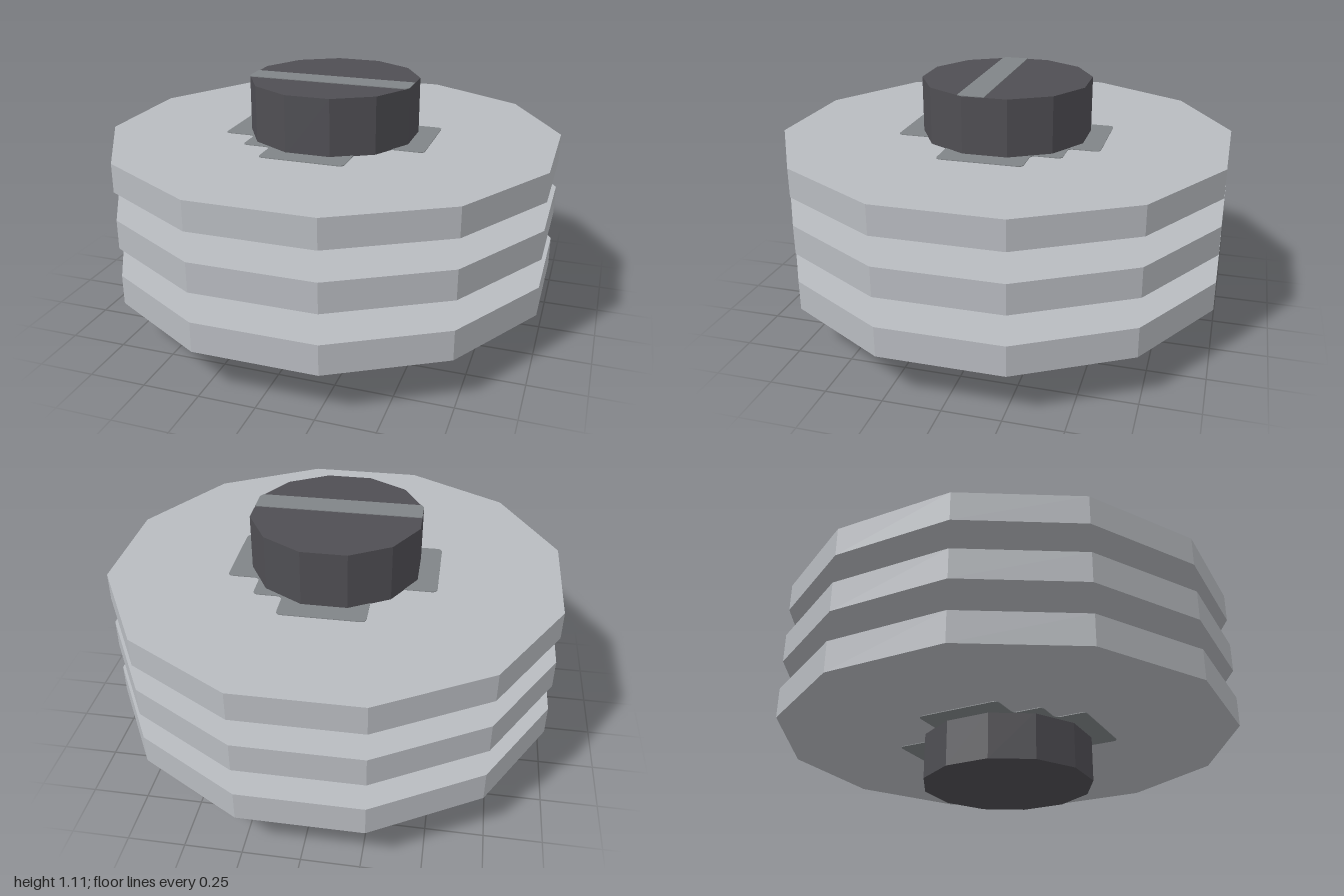
import * as THREE from 'three';

const STEP = Math.PI / 6;

// Twelve-sided prism; apothem is the distance from the axis to a flat side
function prism(name, apothem, y0, y1, material) {
  const r = apothem / Math.cos(STEP / 2);
  const geo = new THREE.CylinderGeometry(r, r, y1 - y0, 12, 1, false, STEP / 2);
  const mesh = new THREE.Mesh(geo, material);
  mesh.name = name;
  mesh.position.y = (y0 + y1) / 2;
  return mesh;
}

// Thin horizontal plate from an outline of [x, -z] points, corners rounded by r
function plate(name, points, r, y, thickness, material) {
  const pts = points.map(([x, v]) => new THREE.Vector2(x, v));
  const shape = new THREE.Shape();
  pts.forEach((p, i) => {
    const prev = pts[(i + pts.length - 1) % pts.length];
    const next = pts[(i + 1) % pts.length];
    const a = p.clone().add(prev.clone().sub(p).setLength(r));
    const b = p.clone().add(next.clone().sub(p).setLength(r));
    if (i === 0) shape.moveTo(a.x, a.y);
    else shape.lineTo(a.x, a.y);
    if (r > 0) shape.quadraticCurveTo(p.x, p.y, b.x, b.y);
  });
  shape.closePath();
  const geo = new THREE.ExtrudeGeometry(shape, { depth: thickness, bevelEnabled: false, curveSegments: 4 });
  geo.rotateX(-Math.PI / 2);
  const mesh = new THREE.Mesh(geo, material);
  mesh.name = name;
  mesh.position.y = y;
  return mesh;
}

export function createModel() {
  const make = (name, color) => {
    const m = new THREE.MeshStandardMaterial({ color, flatShading: true });
    m.name = name;
    return m;
  };
  const lightMetal = make('light metal', 0xb8bbc0);
  const darkMetal = make('dark metal', 0x4f4e53);
  const greyMark = make('grey mark', 0x808487);

  const group = new THREE.Group();
  group.name = 'finnedSpool';

  // Axle ends
  group.add(prism('lowerHub', 0.373, 0, 0.21, darkMetal));
  group.add(prism('upperHub', 0.373, 0.85, 1.11, darkMetal));

  // Three wide discs
  const discs = [[0.205, 0.338], [0.47, 0.6], [0.728, 0.855]];
  discs.forEach(([y0, y1], i) => group.add(prism('disc' + (i + 1), 1, y0, y1, lightMetal)));

  // Thicker cores between the discs
  for (let i = 0; i < 2; i++) {
    group.add(prism('core' + (i + 1), 0.56, discs[i][1], discs[i + 1][0], darkMetal));
  }

  // Stepped cross marks around the axle; half the outline, turned for the other half
  const half = [
    [0.465, -0.19], [0.465, 0.19], [0.32, 0.19], [0.32, 0.325],
    [0.19, 0.325], [0.19, 0.465], [-0.19, 0.465], [-0.19, 0.19],
  ];
  const cross = [...half, ...half.map(([x, v]) => [-x, -v])];
  group.add(plate('upperCrossMark', cross, 0.025, 0.855, 0.003, greyMark));
  group.add(plate('lowerCrossMark', cross, 0.025, 0.202, 0.003, greyMark));

  // Slot stripe across the top of the axle
  const stripe = [[-0.362, -0.12], [0.362, -0.12], [0.373, -0.1], [0.373, 0], [-0.373, 0], [-0.373, -0.1]];
  group.add(plate('slotStripe', stripe, 0, 1.11, 0.003, greyMark));

  return group;
}
